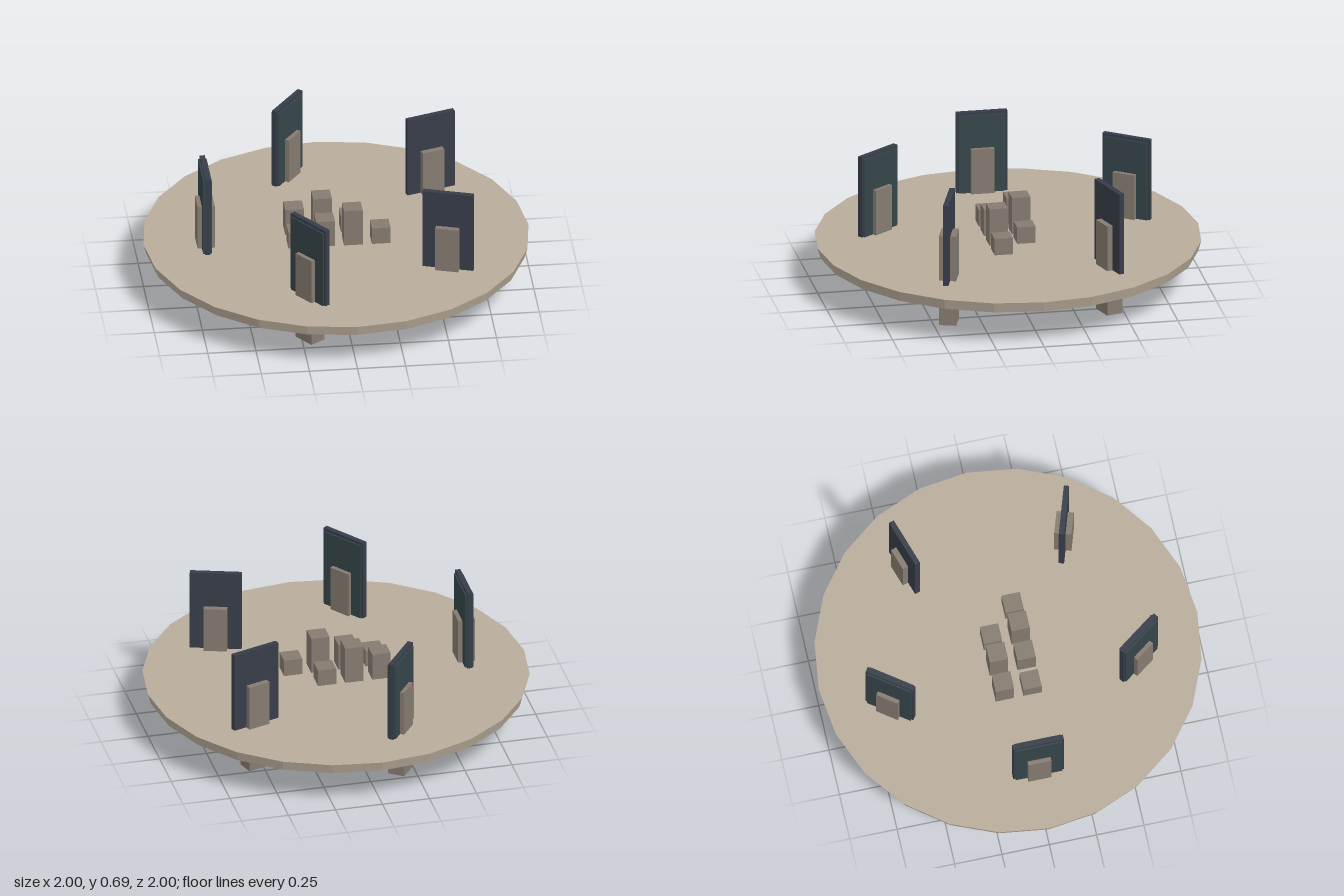
import * as THREE from 'three';

const material = (color) => new THREE.MeshStandardMaterial({ color, flatShading: true });

// Box standing on height y
function addBox(parent, name, mat, [w, h, d], x, y, z) {
  const mesh = new THREE.Mesh(new THREE.BoxGeometry(w, h, d), mat);
  mesh.name = name;
  mesh.position.set(x, y + h / 2, z);
  parent.add(mesh);
  return mesh;
}

export function createModel() {
  const model = new THREE.Group();
  model.name = 'roundPlatform';
  const stone = material(0xb8ac9a);
  const post = material(0x857b70);
  const slate = material(0x373d49);
  const glass = material(0x35454a);
  const bottom = 0.19, top = 0.245;

  // 24-sided disc, slightly narrower underneath
  const disc = new THREE.Mesh(new THREE.CylinderGeometry(1, 0.985, top - bottom, 24), stone);
  disc.name = 'disc';
  disc.position.y = (top + bottom) / 2;
  model.add(disc);

  // Five stations: a post that runs through the disc as a leg, carrying an upright panel
  // x, z, turn in degrees, glazed on both faces
  const stations = [
    [-0.18, -0.66, 54, true],
    [0.537, -0.43, 18, false],
    [0.537, 0.413, -18, false],
    [-0.207, 0.645, -54, true],
    [-0.682, 0.01, 90, true],
  ];
  for (const [x, z, turn, glazed] of stations) {
    const station = new THREE.Group();
    station.name = 'panelStation';
    station.position.set(x, 0, z);
    station.rotation.y = THREE.MathUtils.degToRad(turn);
    addBox(station, 'postAndLeg', post, [0.122, 0.49, 0.09], 0, 0, 0);
    addBox(station, 'panel', slate, [0.268, 0.445, 0.028], 0, 0.24, 0);
    if (glazed) addBox(station, 'glassInset', glass, [0.246, 0.43, 0.045], 0, 0.24, 0);
    model.add(station);
  }

  // Central blocks in two rows, stepped in height
  const rows = [
    { z: 0.073, heights: [0.09, 0.145, 0.2, 0.09] },
    { z: -0.073, heights: [0.145, 0.2, 0.09] },
  ];
  for (const { z, heights } of rows) {
    heights.forEach((h, i) => {
      addBox(model, 'centreBlock', post, [0.097, h, 0.097], -0.212 + i * 0.1445, top, z);
    });
  }
  return model;
}
